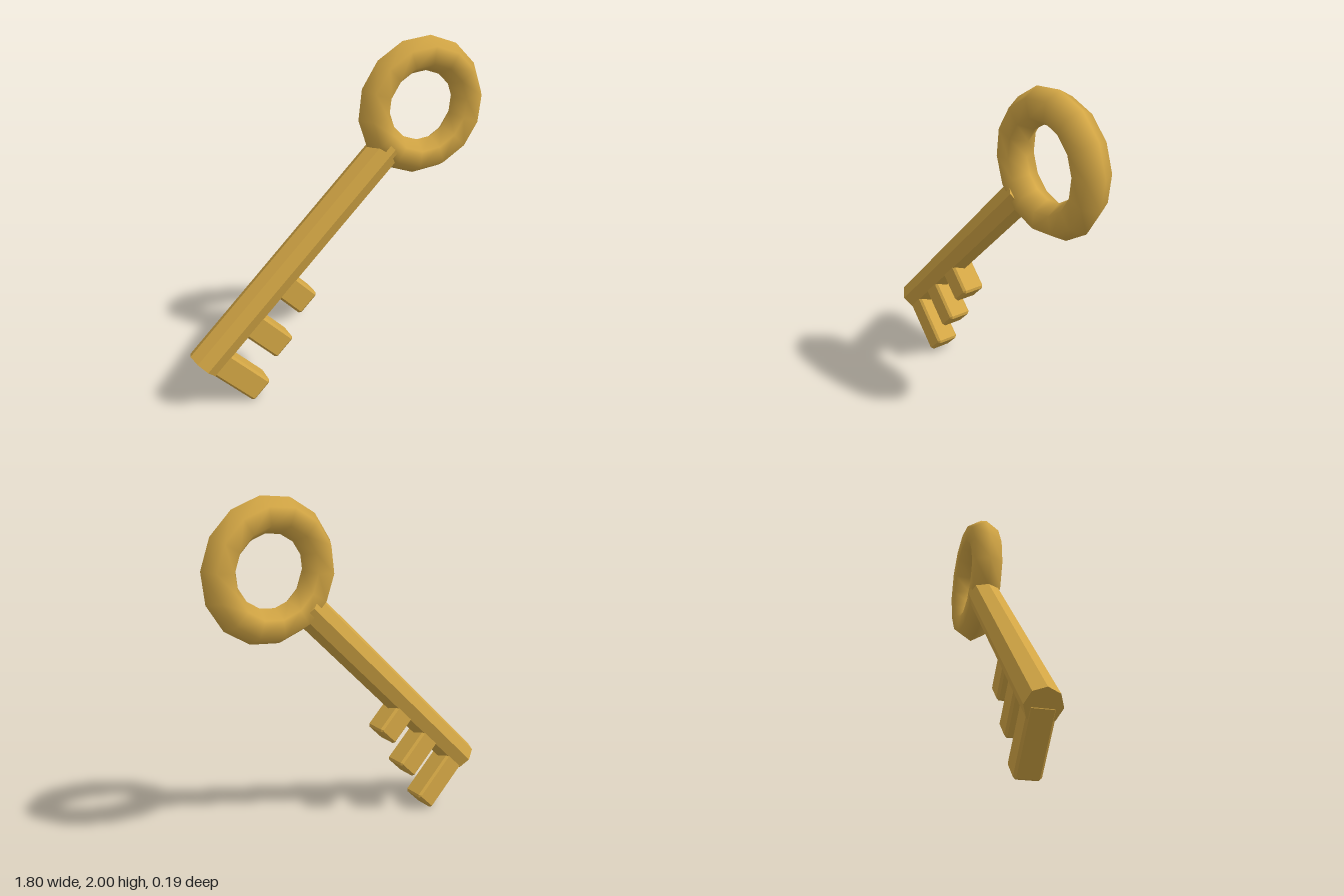
import * as THREE from 'three';

// Give every face its own flat normal
function faceted(geometry) {
  const g = geometry.index ? geometry.toNonIndexed() : geometry;
  g.computeVertexNormals();
  return g;
}

// Box with all edges chamfered, spanning x0..x1, y0..y1 and centred on z = 0
function chamferedBox(x0, x1, y0, y1, depth, c) {
  const l = x0 + c, r = x1 - c, b = y0 + c, t = y1 - c, k = c * 0.4;
  const shape = new THREE.Shape();
  shape.moveTo(l + k, b);
  shape.lineTo(r - k, b);
  shape.lineTo(r, b + k);
  shape.lineTo(r, t - k);
  shape.lineTo(r - k, t);
  shape.lineTo(l + k, t);
  shape.lineTo(l, t - k);
  shape.lineTo(l, b + k);
  shape.closePath();
  const g = new THREE.ExtrudeGeometry(shape, {
    depth: depth - 2 * c, bevelEnabled: true, bevelSegments: 1, bevelSize: c, bevelThickness: c,
  });
  g.translate(0, 0, c - depth / 2);
  return faceted(g);
}

export function createModel() {
  const gold = new THREE.MeshStandardMaterial({ color: 0xd4a745 });
  gold.name = 'gold';

  const model = new THREE.Group();
  model.name = 'key';

  // The key is built upright from the tip of the shaft, then leaned by 45 degrees
  const key = new THREE.Group();
  key.name = 'leaningKey';
  key.position.set(-0.83, 0.27, 0);
  key.rotation.z = -Math.PI / 4;
  model.add(key);

  const add = (name, geometry, y = 0) => {
    const mesh = new THREE.Mesh(geometry, gold);
    mesh.name = name;
    mesh.position.y = y;
    key.add(mesh);
  };

  // Eight-sided shaft
  const length = 1.605;
  add('shaft', faceted(new THREE.CylinderGeometry(0.097, 0.097, length, 8)), length / 2);

  // Ring handle
  add('bow', new THREE.TorusGeometry(0.295, 0.097, 6, 14), 1.897);

  // Three teeth, shorter towards the handle: [start along shaft, reach]
  [[-0.003, 0.385], [0.277, 0.312], [0.56, 0.242]].forEach(([y, reach], i) => {
    add('tooth' + (i + 1), chamferedBox(0, reach, y, y + 0.15, 0.14, 0.013));
  });

  return model;
}
